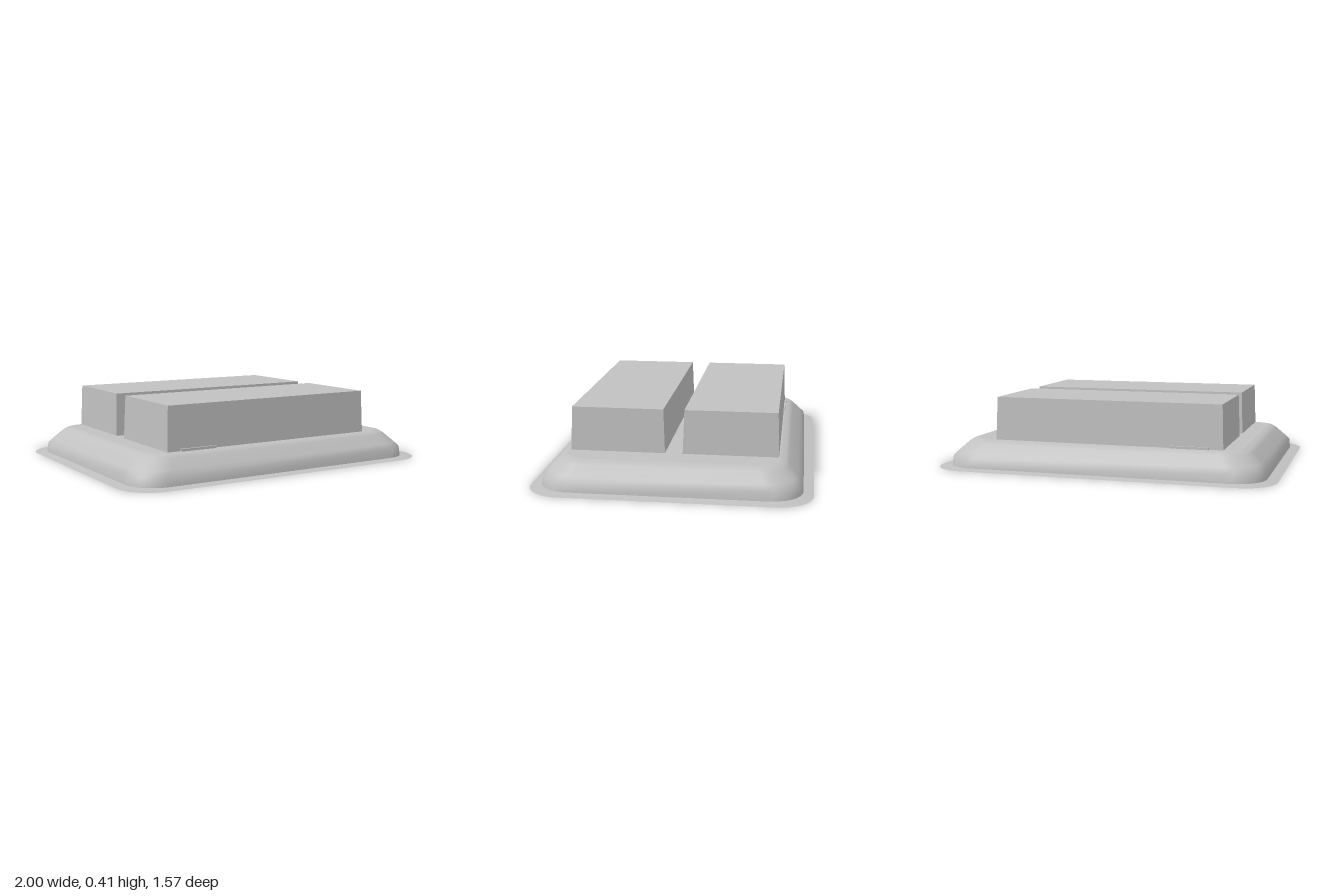
import * as THREE from 'three';

const plastic = new THREE.MeshStandardMaterial({ color: 0xc0c0c0, side: THREE.DoubleSide });
plastic.name = 'greyPlastic';

// Rounded rectangle outline in the ground plane: half sizes hx, hz and corner radius r
function outline(hx, hz, r, steps = 10) {
  const pts = [];
  const corners = [[1, 1], [-1, 1], [-1, -1], [1, -1]];
  corners.forEach(([sx, sz], q) => {
    for (let i = 0; i <= steps; i++) {
      const a = (q + i / steps) * Math.PI / 2;
      pts.push([sx * (hx - r) + r * Math.cos(a), sz * (hz - r) + r * Math.sin(a)]);
    }
  });
  return pts;
}

// Skin stacked rounded rectangles given as [hx, hz, r, y], from the bottom up
function loft(rings) {
  const pos = [], index = [];
  rings.forEach(([hx, hz, r, y]) => outline(hx, hz, r).forEach(([x, z]) => pos.push(x, y, z)));
  const n = pos.length / 3 / rings.length;
  for (let k = 0; k < rings.length - 1; k++) {
    for (let j = 0; j < n; j++) {
      const a = k * n + j, b = k * n + (j + 1) % n;
      index.push(a, a + n, b, b, a + n, b + n);
    }
  }
  const g = new THREE.BufferGeometry();
  g.setAttribute('position', new THREE.Float32BufferAttribute(pos, 3));
  g.setIndex(index);
  g.computeVertexNormals();
  return g;
}

// Tapered box, open underneath
function hollowBlock(w, h, d, taper) {
  const g = new THREE.BoxGeometry(w, h, d).toNonIndexed();
  const p = g.attributes.position;
  for (let i = 0; i < p.count; i++) {
    if (p.getY(i) > 0) {
      p.setX(i, p.getX(i) - Math.sign(p.getX(i)) * taper);
      p.setZ(i, p.getZ(i) - Math.sign(p.getZ(i)) * taper);
    }
  }
  // drop the bottom face (fourth of the six sides)
  const keep = (a) => new THREE.Float32BufferAttribute(
    [...a.array.slice(0, 18 * 3), ...a.array.slice(24 * 3)], 3);
  const out = new THREE.BufferGeometry();
  out.setAttribute('position', keep(p));
  out.computeVertexNormals();
  return out;
}

// Extrude a flat outline, centred on its depth
function slab(points, depth) {
  const shape = new THREE.Shape(points.map(([x, y]) => new THREE.Vector2(x, y)));
  return new THREE.ExtrudeGeometry(shape, { depth, bevelEnabled: false }).translate(0, 0, -depth / 2);
}

export function createModel() {
  const model = new THREE.Group();
  const add = (name, geometry, x = 0, y = 0, z = 0) => {
    const mesh = new THREE.Mesh(geometry, plastic);
    mesh.name = name;
    mesh.position.set(x, y, z);
    model.add(mesh);
  };

  // Tray shell: thin flange, short wall, sloping shoulder
  add('flange', loft([[1, 0.785, 0.2, 0], [0.938, 0.728, 0.18, 0.008]]));
  add('trayWall', loft([
    [0.938, 0.728, 0.18, 0.006], [0.932, 0.722, 0.18, 0.06], [0.905, 0.695, 0.17, 0.09],
    [0.85, 0.645, 0.15, 0.143], [0.83, 0.625, 0.14, 0.156], [0.8, 0.595, 0.12, 0.162],
  ]));

  // Top deck, cut away beneath each block
  const xMin = -0.7, xMax = 0.65, zIn = 0.05, zOut = 0.588, deckY = 0.162;
  const deck = new THREE.Shape(outline(0.8, 0.595, 0.12).map(([x, z]) => new THREE.Vector2(x, z)));
  for (const s of [1, -1]) {
    deck.holes.push(new THREE.Path([
      [xMin, s * zIn], [xMax, s * zIn], [xMax, s * zOut], [xMin, s * zOut],
    ].map(([x, z]) => new THREE.Vector2(x, z))));
  }
  add('deck', new THREE.ShapeGeometry(deck).rotateX(-Math.PI / 2), 0, deckY, 0);

  const top = 0.413;
  for (const s of [1, -1]) {
    const side = s > 0 ? 'front' : 'back';

    // Long hollow block
    add(side + 'Block', hollowBlock(xMax - xMin, top - deckY, zOut - zIn, 0.009),
      (xMin + xMax) / 2, (top + deckY) / 2, s * (zIn + zOut) / 2);

    // Hanging clip with clipped lower corners
    add(side + 'Clip', slab([
      [-0.11, 0.175], [-0.11, 0.05], [-0.07, 0.01], [0.07, 0.01], [0.11, 0.05], [0.11, 0.175],
    ], 0.02), -0.51, 0, s * 0.59);

    // Foot under the deck, following the inside of the end wall
    add(side + 'Foot', slab([
      [0.71, 0.005], [0.93, 0.005], [0.927, 0.06], [0.9, 0.088], [0.845, 0.141], [0.8, 0.158], [0.71, 0.158],
    ], 0.25), 0, 0, s * 0.265);
  }
  return model;
}
